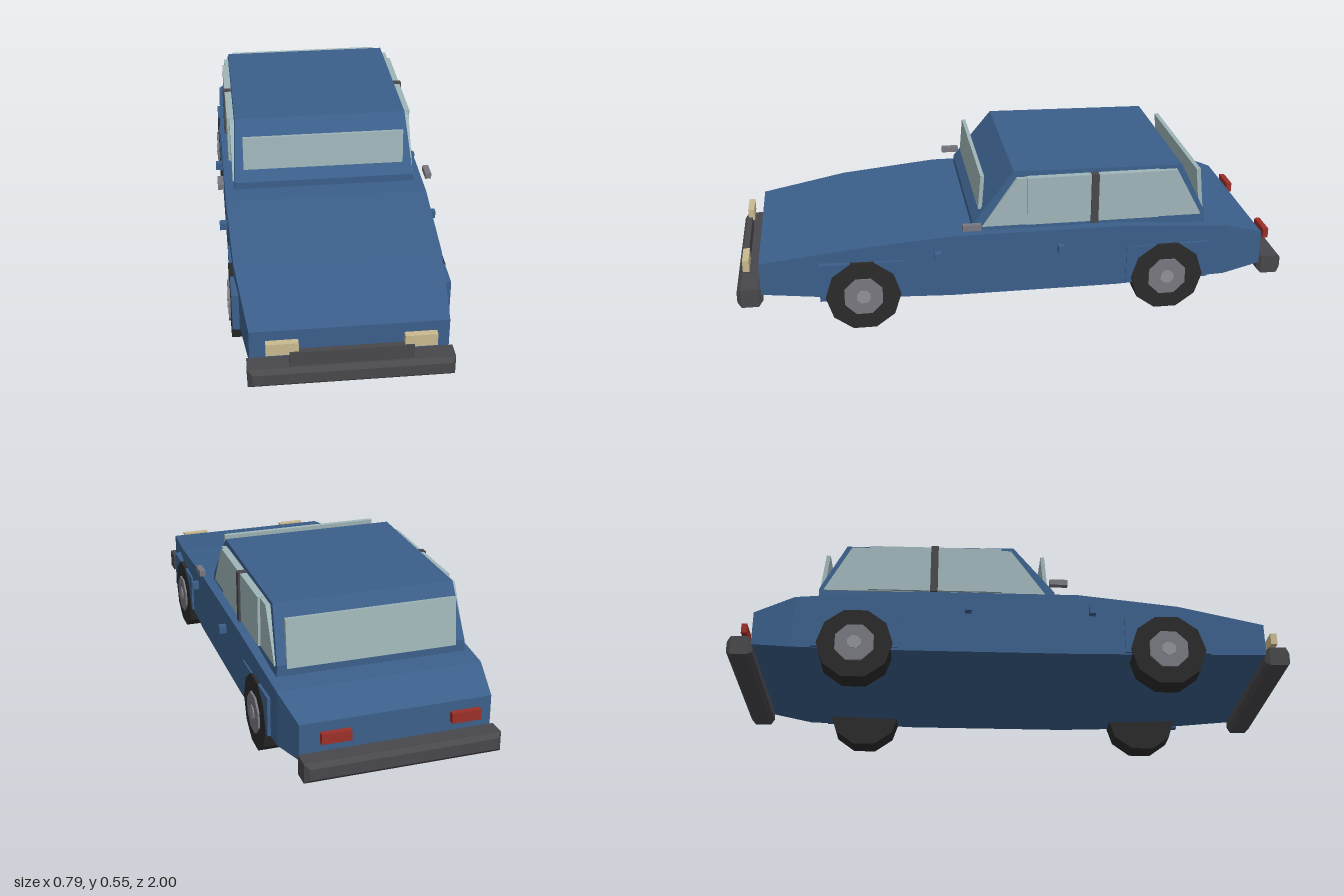
import * as THREE from 'three';

const mat = (color) => new THREE.MeshStandardMaterial({ color, flatShading: true });

export function createModel() {
  const car = new THREE.Group();
  car.name = 'car';
  const paint = mat(0x3b5f8a), glass = mat(0x9fb5b8), rubber = mat(0x2a2a2a), metal = mat(0x77777f),
    trim = mat(0x48484c), lamp = mat(0xc8b98f), red = mat(0x9a2f28);

  function add(name, geometry, material, x = 0, y = 0, z = 0) {
    const mesh = new THREE.Mesh(geometry, material);
    mesh.name = name;
    mesh.position.set(x, y, z);
    car.add(mesh);
    return mesh;
  }

  // box given by its extents
  const box = (name, material, x0, x1, y0, y1, z0, z1) =>
    add(name, new THREE.BoxGeometry(x1 - x0, y1 - y0, z1 - z0), material,
      (x0 + x1) / 2, (y0 + y1) / 2, (z0 + z1) / 2);

  // closed loft through stations [z, bottom half-width, top half-width, bottom y, top y], front to back
  function loft(stations) {
    const rings = stations.map(([z, a, b, y0, y1]) => [[-a, y0, z], [a, y0, z], [b, y1, z], [-b, y1, z]]);
    const pos = [];
    const quad = (a, b, c, d) => pos.push(...a, ...b, ...c, ...a, ...c, ...d);
    for (let i = 0; i < rings.length - 1; i++) {
      const f = rings[i], r = rings[i + 1];
      for (let k = 0; k < 4; k++) {
        const n = (k + 1) % 4;
        quad(f[k], r[k], r[n], f[n]);
      }
    }
    quad(...rings[0]);
    quad(...rings[rings.length - 1].slice().reverse());
    const g = new THREE.BufferGeometry();
    g.setAttribute('position', new THREE.Float32BufferAttribute(pos, 3));
    g.computeVertexNormals();
    return g;
  }

  // lower body
  add('body', loft([
    [0.915, 0.325, 0.325, 0.135, 0.255],
    [0.6, 0.357, 0.357, 0.115, 0.305],
    [0.24, 0.367, 0.367, 0.105, 0.338],
    [-0.36, 0.367, 0.367, 0.105, 0.338],
    [-0.77, 0.357, 0.357, 0.115, 0.31],
    [-0.915, 0.328, 0.328, 0.135, 0.26],
  ]), paint);

  // cabin with sloping ends
  add('cabin', loft([
    [0.158, 0.333, 0.331, 0.325, 0.365],
    [0.01, 0.333, 0.318, 0.325, 0.552],
    [-0.6, 0.333, 0.318, 0.32, 0.543],
    [-0.69, 0.333, 0.331, 0.32, 0.36],
  ]), paint);

  // front and rear glass stand just off the cabin
  box('windshield', glass, -0.295, 0.295, 0.405, 0.53, 0.116, 0.13).rotation.x = -0.08;
  box('rearWindow', glass, -0.298, 0.298, 0.345, 0.515, -0.685, -0.67).rotation.x = 0.11;

  // side glass outline, drawn in (z, y)
  const outline = new THREE.Shape([[0.125, 0.353], [-0.675, 0.353], [-0.58, 0.53], [0, 0.53]]
    .map(([z, y]) => new THREE.Vector2(-z, y)));
  const sideGlass = new THREE.ExtrudeGeometry(outline, { depth: 0.672, bevelEnabled: false });
  sideGlass.translate(0, 0, -0.336).rotateY(Math.PI / 2);
  add('sideGlass', sideGlass, glass);

  // wheel parts lie along x, with a flat facet on the ground
  function disc(r, width, sides) {
    const g = new THREE.CylinderGeometry(r, r, width, sides);
    return g.rotateZ(Math.PI / 2).rotateX(sides === 8 ? Math.PI / 8 : 0);
  }

  for (const s of [1, -1]) {
    const side = s > 0 ? 'left' : 'right';
    const sideBox = (name, material, x0, x1, ...rest) =>
      box(side + name, material, Math.min(s * x0, s * x1), Math.max(s * x0, s * x1), ...rest);

    sideBox('DoorGlass', glass, 0.32, 0.345, 0.355, 0.533, -0.515, -0.035);
    sideBox('DoorPillar', trim, 0.32, 0.352, 0.35, 0.535, -0.292, -0.265);
    sideBox('Mirror', metal, 0.37, 0.392, 0.365, 0.386, 0.135, 0.2);
    sideBox('FrontHandle', paint, 0.36, 0.393, 0.255, 0.283, 0.277, 0.3);
    sideBox('RearHandle', paint, 0.36, 0.393, 0.255, 0.283, -0.165, -0.142);
    sideBox('Headlight', lamp, 0.17, 0.275, 0.204, 0.247, 0.952, 0.975);
    sideBox('TailLight', red, 0.17, 0.27, 0.207, 0.243, -0.965, -0.945);

    for (const z of [0.555, -0.55]) {
      const end = z > 0 ? 'Front' : 'Rear';
      sideBox(end + 'ArchPanel', paint, 0.345, 0.37, 0.115, 0.255, z - 0.153, z + 0.153);
      add(side + end + 'Tire', disc(0.134, 0.088, 10), rubber, s * 0.328, 0.128, z);
      add(side + end + 'Hub', disc(0.073, 0.03, 8), metal, s * 0.364, 0.128, z);
      add(side + end + 'HubCap', disc(0.026, 0.03, 8), mat(0x909098), s * 0.367, 0.128, z);
    }
  }

  // grille and chamfered bumpers
  box('grille', trim, -0.2, 0.2, 0.155, 0.215, 0.96, 0.98);
  const c = 0.015;
  const face = new THREE.Shape([[-0.32, 0.108], [0.32, 0.108], [0.32, 0.147], [-0.32, 0.147]]
    .map(([x, y]) => new THREE.Vector2(x, y)));
  const bumper = new THREE.ExtrudeGeometry(face, {
    depth: 0.06, bevelSize: c, bevelThickness: c, bevelSegments: 1,
  });
  add('frontBumper', bumper, trim, 0, 0, 0.925);
  add('rearBumper', bumper, trim, 0, 0, -0.985);

  return car;
}
